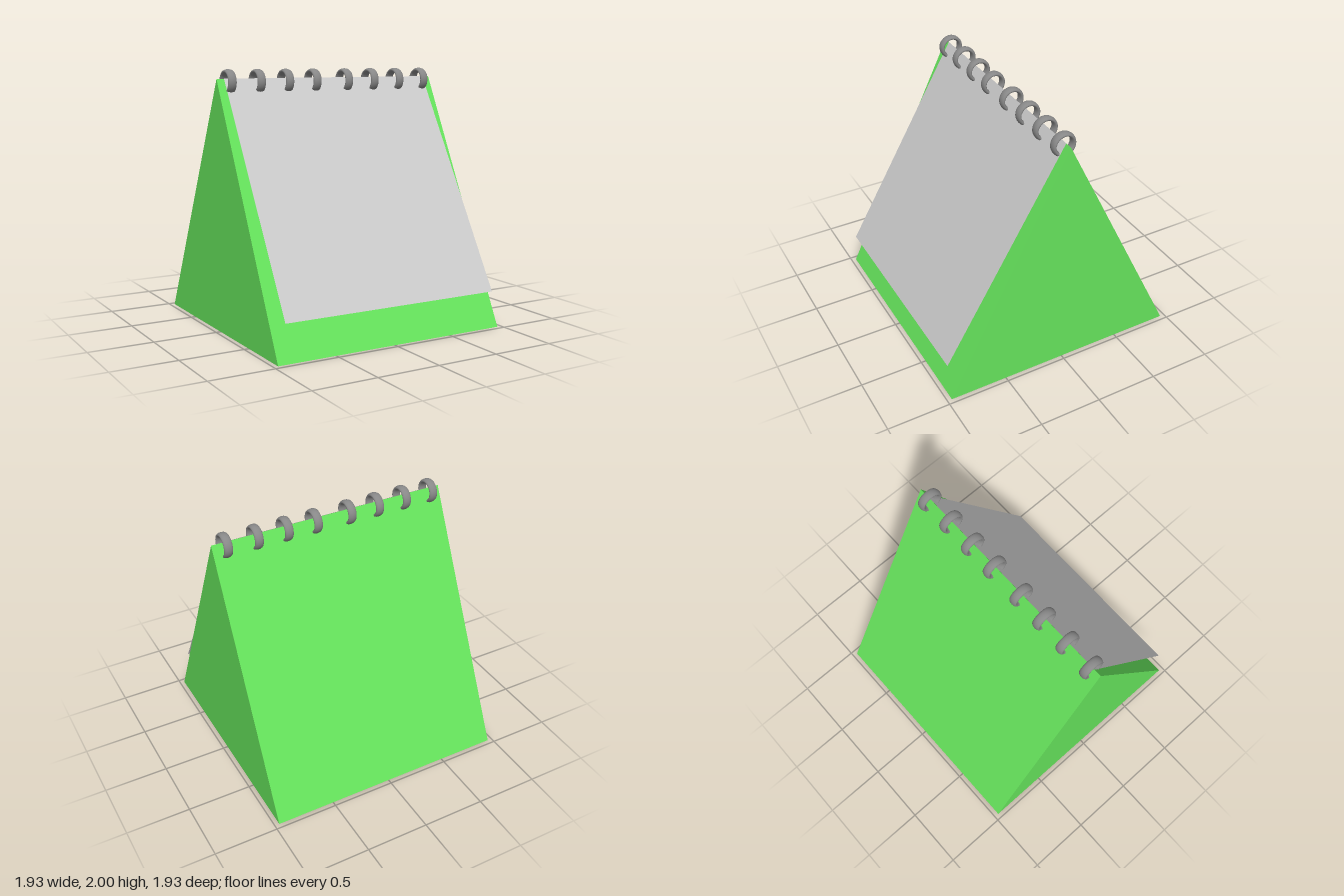
import * as THREE from 'three';

const material = (color, side = THREE.FrontSide) =>
  new THREE.MeshStandardMaterial({ color, side });

export function createModel() {
  const model = new THREE.Group();
  model.name = 'deskCalendar';
  const add = (name, geometry, mat) => {
    const mesh = new THREE.Mesh(geometry, mat);
    mesh.name = name;
    model.add(mesh);
    return mesh;
  };

  // Triangular stand: a prism running along x
  const apex = 1.928, half = 0.963;
  const triangle = new THREE.Shape([
    new THREE.Vector2(-half, 0),
    new THREE.Vector2(half, 0),
    new THREE.Vector2(0, apex),
  ]);
  const prism = new THREE.ExtrudeGeometry(triangle, { depth: half * 2, bevelEnabled: false });
  prism.translate(0, 0, -half).rotateY(Math.PI / 2);
  add('stand', prism, material(0x66e45c));

  // Page hanging from the ridge, its lower edge lifted off the stand
  const drop = 1.64, reach = 0.96;
  const sheet = new THREE.PlaneGeometry(1.805, Math.hypot(drop, reach));
  sheet.rotateX(-Math.atan2(reach, drop));
  sheet.translate(0, 1.93 - drop / 2, reach / 2);
  add('page', sheet, material(0xcccccc, THREE.DoubleSide));

  // Binding rings: flat-sided bands in two groups of four
  const ring = new THREE.TorusGeometry(0.079, 0.0165, 16, 40);
  ring.scale(1, 1, 2.1).rotateY(Math.PI / 2);
  const metal = material(0x888888);
  for (const start of [-0.87, 0.14]) {
    for (let i = 0; i < 4; i++) {
      add('bindingRing', ring, metal).position.set(start + i * 0.241, 1.905, 0);
    }
  }
  return model;
}
